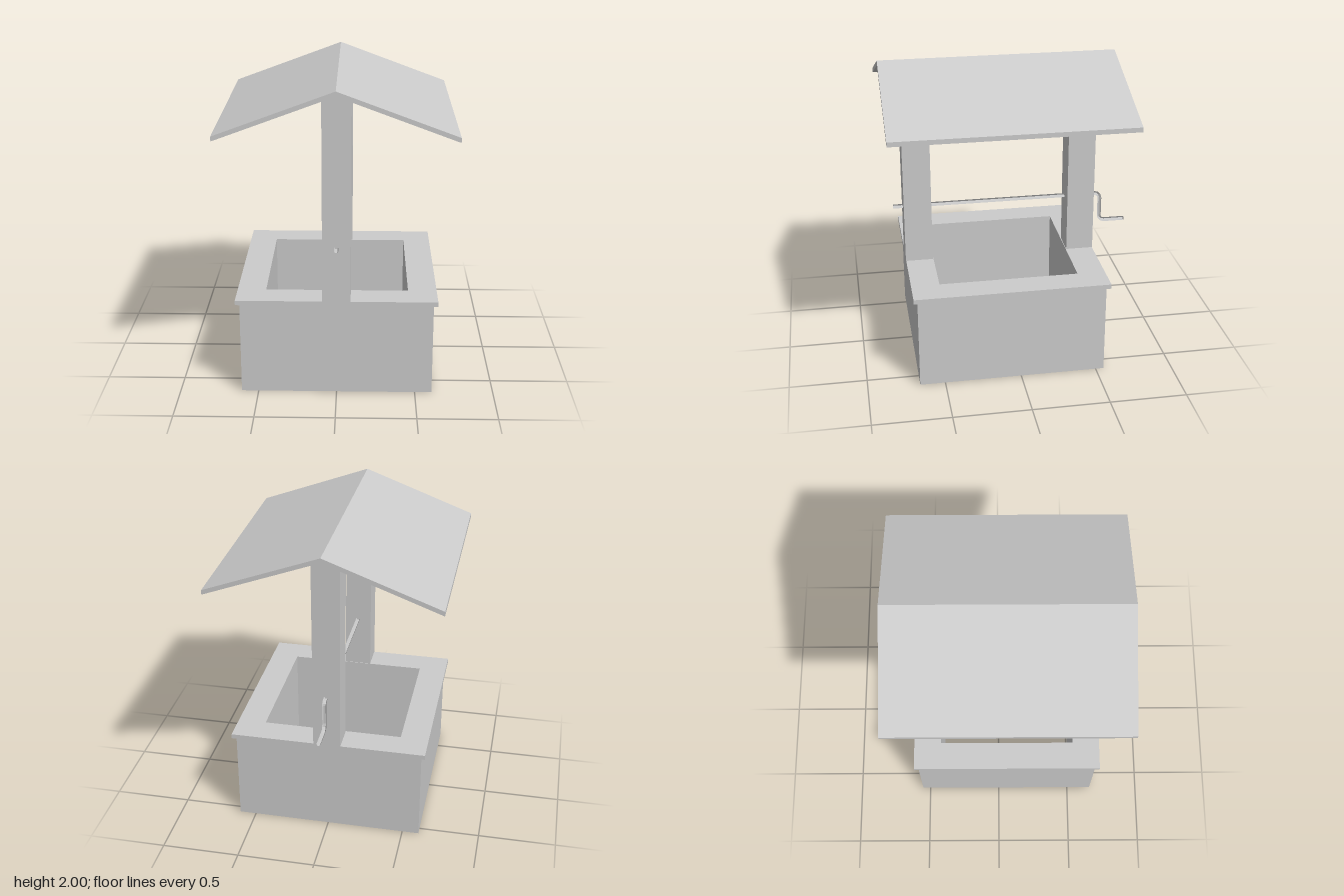
import * as THREE from 'three';

const material = new THREE.MeshStandardMaterial({ color: 0xcccccc, flatShading: true });
const WELL_Z = 0.055; // centre of the well along z
const HOLE = 0.451; // half width of the shaft

function part(name, geometry, parent) {
  const mesh = new THREE.Mesh(geometry, material);
  mesh.name = name;
  parent.add(mesh);
  return mesh;
}

function polygon(points) {
  return new THREE.Shape(points.map(([x, y]) => new THREE.Vector2(x, y)));
}

function square(h) {
  return [[-h, -h], [h, -h], [h, h], [-h, h]];
}

function extrude(shape, depth) {
  return new THREE.ExtrudeGeometry(shape, { depth, bevelEnabled: false });
}

// Square ring lying flat, from y0 to y1
function squareRing(half, y0, y1) {
  const shape = polygon(square(half));
  shape.holes.push(polygon(square(HOLE).reverse()));
  return extrude(shape, y1 - y0).rotateX(-Math.PI / 2).translate(0, y0, WELL_Z);
}

// Six-sided rod following [z, y] points in the x = 0 plane, with mitred joints
function bentRod(points, radius, sides = 6) {
  const path = points.map(([z, y]) => new THREE.Vector2(z, y));
  const last = path.length - 1;
  const direction = (i) => path[i + 1].clone().sub(path[i]).normalize();
  const positions = [];
  const index = [];
  path.forEach((p, i) => {
    const before = direction(Math.max(i - 1, 0));
    const after = direction(Math.min(i, last - 1));
    const t = before.clone().add(after).normalize();
    const stretch = radius / t.dot(after);
    for (let k = 0; k < sides; k++) {
      const a = (k / sides) * Math.PI * 2;
      const s = Math.sin(a) * stretch;
      positions.push(Math.cos(a) * radius, p.y - t.x * s, p.x + t.y * s);
    }
  });
  for (let i = 0; i < last; i++) {
    for (let k = 0; k < sides; k++) {
      const a = i * sides + k;
      const b = i * sides + ((k + 1) % sides);
      index.push(a, b, b + sides, a, b + sides, a + sides);
    }
  }
  // End caps
  const end = last * sides;
  for (let k = 1; k < sides - 1; k++) {
    index.push(0, k + 1, k, end, end + k, end + k + 1);
  }
  const geometry = new THREE.BufferGeometry();
  geometry.setAttribute('position', new THREE.Float32BufferAttribute(positions, 3));
  geometry.setIndex(index);
  const flat = geometry.toNonIndexed();
  flat.computeVertexNormals();
  return flat;
}

export function createModel() {
  const model = new THREE.Group();
  model.name = 'well';

  // Open square shaft and its overhanging rim
  part('wellWall', squareRing(0.608, 0, 0.608), model);
  part('wellRim', squareRing(0.633, 0.608, 0.638), model);

  // Two posts with tops cut to the roof slope
  const postShape = polygon([[-0.088, 0.638], [0.088, 0.638], [0.088, 1.938], [0, 1.97], [-0.088, 1.938]]);
  for (const [name, z] of [['frontPost', 0.51], ['backPost', -0.58]]) {
    part(name, extrude(postShape, 0.18), model).position.z = z;
  }

  // Thin gabled roof
  const roofShape = polygon([[-0.727, 1.7], [0, 1.97], [0.727, 1.7], [0.727, 1.73], [0, 2], [-0.727, 1.73]]);
  part('roof', extrude(roofShape, 1.52), model).position.z = -0.705;

  // Axle through both posts, bent into a crank handle at the back
  const points = [[0.755, 1]];
  const bend = 0.035;
  for (let i = 0; i <= 3; i++) {
    const a = (i / 3) * Math.PI / 2;
    points.push([-0.607 - bend * Math.sin(a), 1 - bend + bend * Math.cos(a)]);
  }
  for (let i = 0; i <= 3; i++) {
    const a = (i / 3) * Math.PI / 2;
    points.push([-0.677 + bend * Math.cos(a), 0.8 + bend - bend * Math.sin(a)]);
  }
  points.push([-0.815, 0.8]);
  part('crankAxle', bentRod(points, 0.0135), model);

  return model;
}
